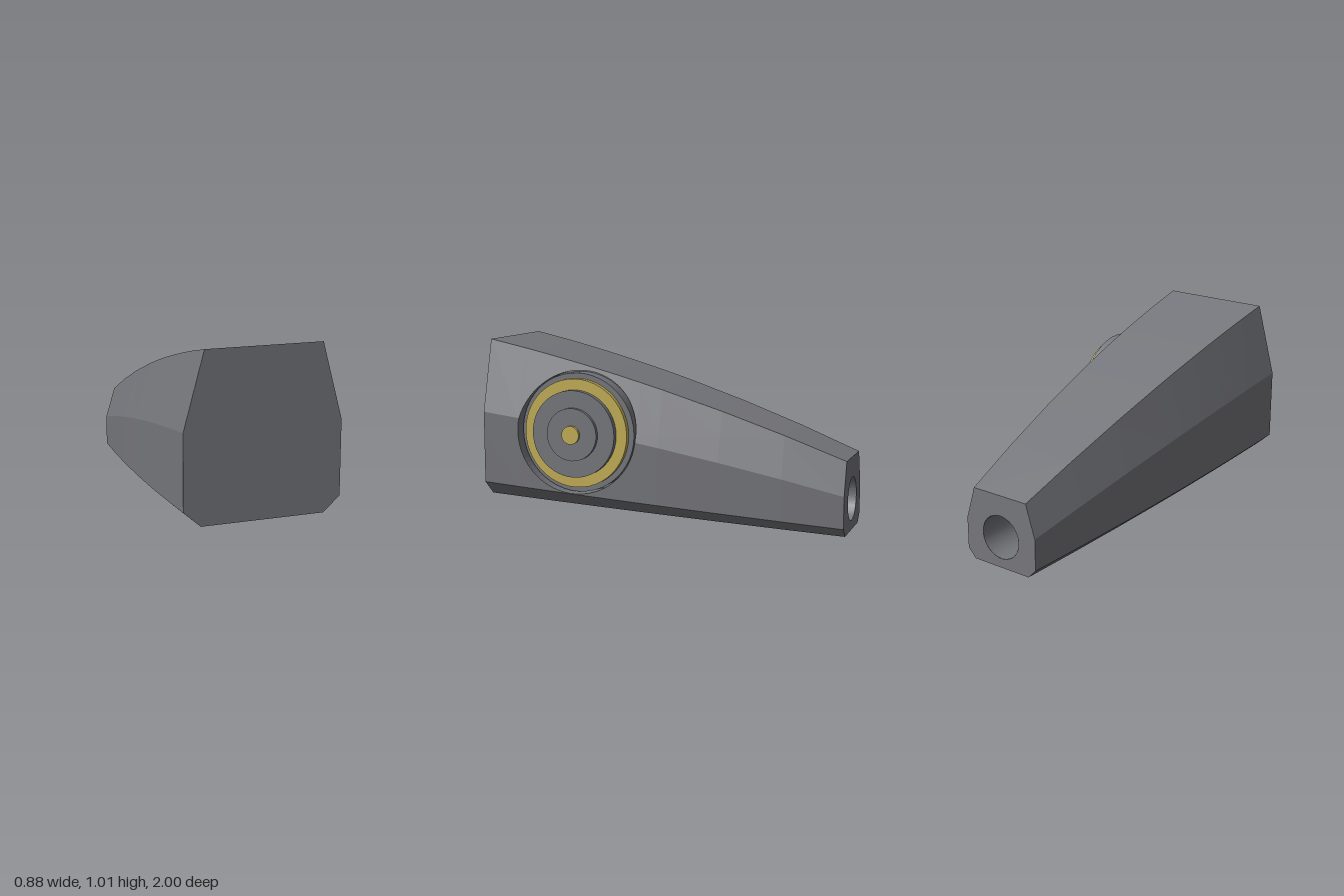
import * as THREE from 'three';

const CX = -0.0225;                       // centre plane of the tapered body
const DISC = { y: 0.512, z: 0.46, r: 0.338 };
const FLOOR = 0.25;                       // x of the pocket floor
const BORE = { y: 0.172, r: 0.12, depth: 0.5 };

// Value along z by a parabola through its rear, middle and front values
const along = (rear, mid, front) => (z) =>
  mid + (front - rear) / 2 * z + ((front + rear) / 2 - mid) * z * z;
const bottomY = along(0, 0.0675, 0.135);
const lowY = along(0.05, 0.1325, 0.215);
const creaseY = along(0.225, 0.45, 0.612);
const topY = along(0.405, 0.755, 1.01);
const bottomW = along(0.18, 0.273, 0.328);
const wideW = along(0.228, 0.347, 0.418);
const topW = along(0.173, 0.257, 0.31);

// Half width of the flank at height y
function flank(y, z) {
  const t = Math.max(0, (y - creaseY(z)) / (topY(z) - creaseY(z)));
  return wideW(z) + (topW(z) - wideW(z)) * t;
}

// Lower and upper edge of the round pocket opening at z
function opening(z) {
  const h = Math.sqrt(Math.max(0, DISC.r ** 2 - (z - DISC.z) ** 2));
  const mid = Math.min(Math.max(DISC.y, lowY(z)), topY(z));
  return h < 1e-6 ? [mid, mid] : [DISC.y - h, DISC.y + h];
}

// Flat-shaded surface from a list of quads, dropping collapsed triangles
function quadSurface(quads) {
  const pos = [];
  const tri = new THREE.Triangle();
  for (const [a, b, c, d] of quads) {
    for (const t of [[a, b, c], [a, c, d]]) {
      tri.set(...t);
      if (tri.getArea() > 1e-9) t.forEach((p) => pos.push(p.x, p.y, p.z));
    }
  }
  const g = new THREE.BufferGeometry();
  g.setAttribute('position', new THREE.Float32BufferAttribute(pos, 3));
  g.computeVertexNormals();
  return g;
}

// Eight-sided cross-section at z, with the pocket edge worked into the +x flank
function section(z) {
  const [lo, hi] = opening(z);
  const cr = creaseY(z);
  const right = [Math.min(cr, lo), lo, hi, Math.max(cr, hi)].map((y) => [flank(y, z), y]);
  return [
    [bottomW(z), bottomY(z)], [wideW(z), lowY(z)], ...right, [topW(z), topY(z)],
    [-topW(z), topY(z)], [-wideW(z), cr], [-wideW(z), lowY(z)], [-bottomW(z), bottomY(z)],
  ].map(([x, y]) => new THREE.Vector3(CX + x, y, z));
}

function endShape(z) {
  const half = [[bottomW(z), bottomY(z)], [wideW(z), lowY(z)], [wideW(z), creaseY(z)], [topW(z), topY(z)]];
  const mirrored = half.map(([x, y]) => [-x, y]).reverse();
  return new THREE.Shape([...half, ...mirrored].map(([x, y]) => new THREE.Vector2(x, y)));
}

export function createModel() {
  const grey = new THREE.MeshStandardMaterial({ color: 0x76777c, side: THREE.DoubleSide });
  grey.name = 'grey';
  const gold = new THREE.MeshStandardMaterial({ color: 0xc4ae56 });
  gold.name = 'gold';

  const model = new THREE.Group();
  model.name = 'taperedHousing';
  const add = (name, geometry, material, x = 0, y = 0, z = 0) => {
    const mesh = new THREE.Mesh(geometry, material);
    mesh.name = name;
    mesh.position.set(x, y, z);
    model.add(mesh);
    return mesh;
  };

  // Stations along z, closely spaced around the pocket
  const stations = [-1, -0.67, -0.33, 0];
  const STEPS = 40;
  for (let i = 0; i <= STEPS; i++) stations.push(DISC.z - DISC.r * Math.cos(Math.PI * i / STEPS));
  stations.push(1);

  // Body skin, leaving the pocket open, and the pocket's wall
  const skin = [], wall = [];
  const rings = stations.map(section);
  const inner = (p) => new THREE.Vector3(FLOOR, p.y, p.z);
  for (let i = 0; i < rings.length - 1; i++) {
    const a = rings[i], b = rings[i + 1], n = a.length;
    for (let j = 0; j < n; j++) {
      const k = (j + 1) % n;
      if (j !== 3) skin.push([a[j], a[k], b[k], b[j]]);
    }
    if (i >= 4 && i < 4 + STEPS) {
      wall.push([a[3], b[3], inner(b[3]), inner(a[3])]);
      wall.push([b[4], a[4], inner(a[4]), inner(b[4])]);
    }
  }
  add('bodySkin', quadSurface(skin), grey);
  add('pocketWall', quadSurface(wall), grey);
  add('pocketFloor', new THREE.CircleGeometry(DISC.r, 48).rotateY(Math.PI / 2), grey, FLOOR, DISC.y, DISC.z);

  // End faces, the rear one pierced by a bore
  add('frontFace', new THREE.ShapeGeometry(endShape(1)), grey, CX, 0, 1);
  const rear = endShape(-1);
  rear.holes.push(new THREE.Path().absarc(0, BORE.y, BORE.r, 0, Math.PI * 2, true));
  add('rearFace', new THREE.ShapeGeometry(rear, 24).rotateY(Math.PI), grey, CX, 0, -1);
  add('boreWall', new THREE.CylinderGeometry(BORE.r, BORE.r, BORE.depth, 24, 1, true).rotateX(Math.PI / 2),
    grey, CX, BORE.y, -1 + BORE.depth / 2);
  add('boreEnd', new THREE.CircleGeometry(BORE.r, 24).rotateY(Math.PI), grey, CX, BORE.y, -1 + BORE.depth);

  // Stepped discs stacked outwards along +x
  const discs = [
    ['baseDisc', 0.33, FLOOR, 0.33, grey],
    ['goldRing', 0.30, 0.33, 0.363, gold],
    ['middleDisc', 0.24, 0.363, 0.397, grey],
    ['hubDisc', 0.145, 0.397, 0.42, grey],
    ['goldHub', 0.05, 0.42, 0.438, gold],
  ];
  for (const [name, r, x0, x1, material] of discs) {
    add(name, new THREE.CylinderGeometry(r, r, x1 - x0, 48).rotateZ(-Math.PI / 2),
      material, (x0 + x1) / 2, DISC.y, DISC.z);
  }
  return model;
}
